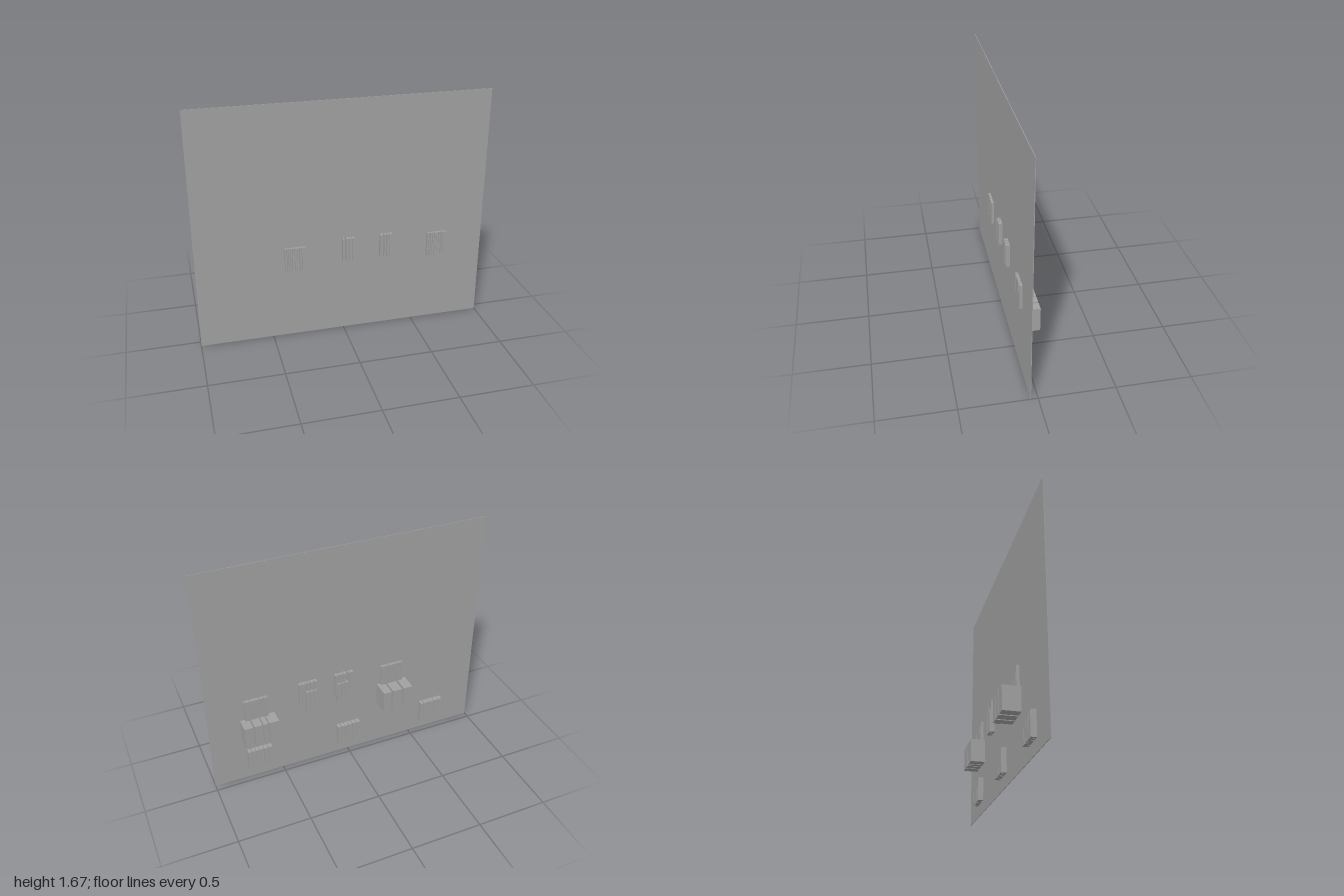
import * as THREE from 'three';

export function createModel() {
  const model = new THREE.Group();
  const grey = new THREE.MeshStandardMaterial({ color: 0xa0a0a0 });
  grey.name = 'plain grey';

  function block(parent, name, x0, x1, y0, y1, z0, z1) {
    const mesh = new THREE.Mesh(new THREE.BoxGeometry(x1 - x0, y1 - y0, z1 - z0), grey);
    mesh.position.set((x0 + x1) / 2, (y0 + y1) / 2, (z0 + z1) / 2);
    mesh.name = name;
    parent.add(mesh);
  }

  // A row of upright blocks, each given by its left and right x
  function row(name, spans, y0, y1, z0, z1, offset = 0) {
    const group = new THREE.Group();
    group.name = name;
    spans.forEach(([a, b]) => block(group, 'block', a + offset, b + offset, y0, y1, z0, z1));
    model.add(group);
  }

  // Thin upright panel
  block(model, 'panel', -1, 1, 0, 1.667, 0.045, 0.049);

  // Narrow slats passing through the panel, the same on both sides
  const slats = [[-0.07, -0.058], [-0.055, -0.047], [-0.044, -0.034], [-0.031, -0.021],
    [-0.018, -0.004], [-0.002, 0.012], [0.014, 0.028], [0.032, 0.044], [0.047, 0.07]];
  for (const x of [-0.335, 0.666]) {
    row('narrowSlats', slats, 0.50, 0.673, 0.023, 0.068, x);
    row('slatEnds', [[-0.083, -0.073], [0.072, 0.081]], 0.50, 0.673, 0.023, 0.045, x);
  }

  // Middle rows: front blocks, wider backs and the lower row behind
  row('middleFrontBlocks', [[-0.008, 0.002], [0.016, 0.036], [0.039, 0.054], [0.057, 0.072]],
    0.538, 0.704, 0.018, 0.077);
  row('middleFrontBlocks', [[0.254, 0.276], [0.283, 0.297], [0.303, 0.317], [0.32, 0.34]],
    0.538, 0.704, 0.018, 0.077);
  row('middleBackBlocks', [[-0.035, -0.012], [0.076, 0.097]], 0.538, 0.704, 0.018, 0.045);
  row('middleBackBlocks', [[0.23, 0.25], [0.344, 0.36]], 0.538, 0.704, 0.018, 0.045);
  const lower = [[-0.04, -0.017], [-0.013, 0.01], [0.014, 0.04]];
  for (const x of [0.045, 0.277]) row('lowerMiddleBlocks', lower, 0.47, 0.636, 0.008, 0.045, x);

  // Deep blocks on the back
  row('deepBlocks', [[-0.452, -0.385], [-0.372, -0.302], [-0.29, -0.231]], 0.35, 0.516, -0.077, 0.045);
  row('deepBlocks', [[0.538, 0.607], [0.615, 0.647], [0.655, 0.709], [0.719, 0.779]],
    0.35, 0.516, -0.056, 0.045);

  // Three low rows on the back
  const low = [[-0.087, -0.06], [-0.057, -0.028], [-0.023, 0.003], [0.006, 0.03], [0.033, 0.058], [0.062, 0.085]];
  for (const x of [-0.668, 0, 0.668]) row('lowBlocks', low, 0.084, 0.25, 0.008, 0.045, x);

  return model;
}
